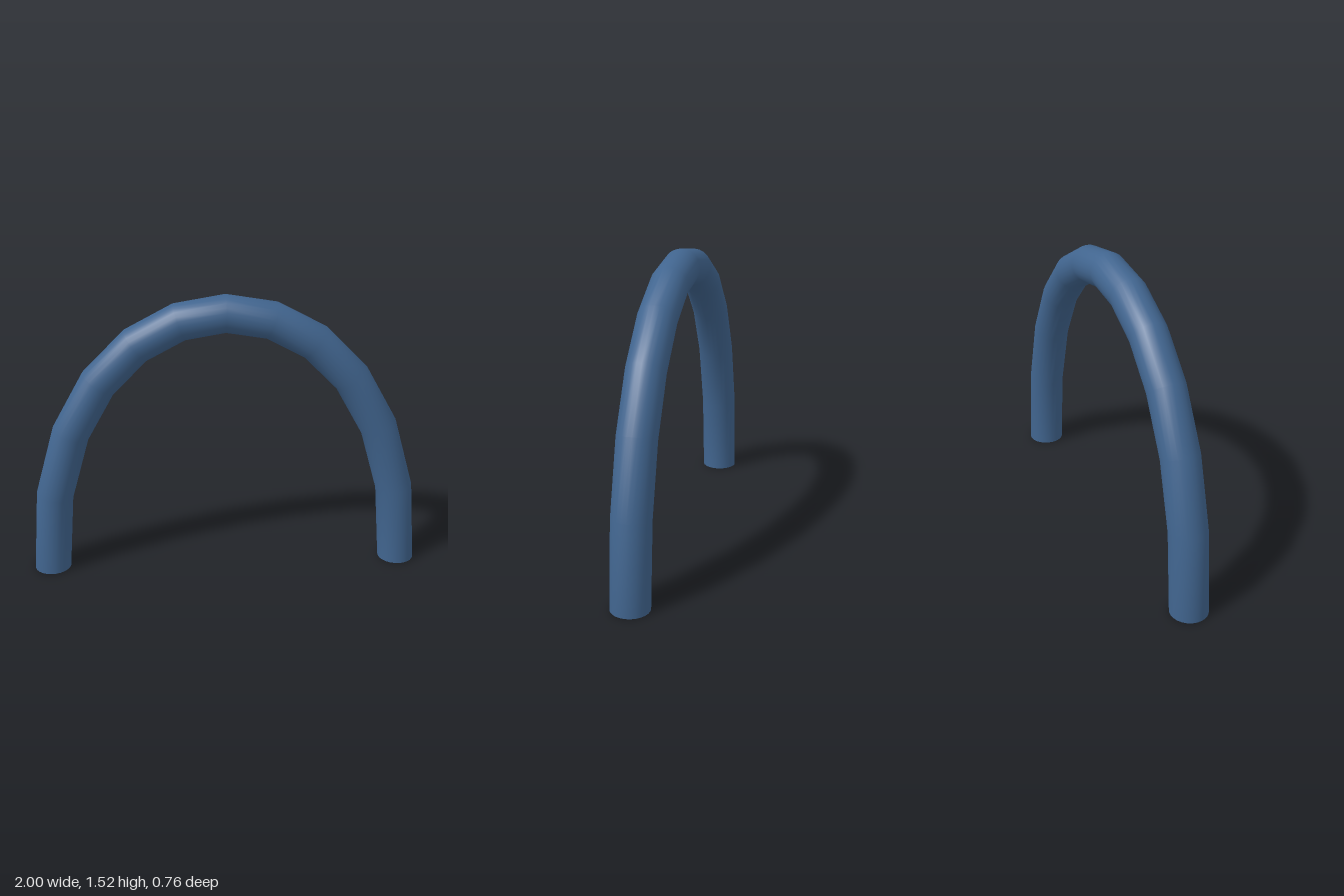
import * as THREE from 'three';

export function createModel() {
  const group = new THREE.Group();
  group.name = 'arch';

  // Arch path: legs start vertical, ends are set diagonally across the floor
  const x = 0.903, z = 0.285, lift = 1.893, radius = 0.097;
  const path = new THREE.CubicBezierCurve3(
    new THREE.Vector3(-x, 0, z),
    new THREE.Vector3(-x, lift, z),
    new THREE.Vector3(x, lift, -z),
    new THREE.Vector3(x, 0, -z)
  );
  // Space the rings evenly by curve parameter, so they gather towards the crown
  path.getPointAt = (t, target) => path.getPoint(t, target);
  path.getTangentAt = (t, target) => path.getTangent(t, target);

  // Open-ended bent pipe
  const pipe = new THREE.Mesh(
    new THREE.TubeGeometry(path, 12, radius, 24, false),
    new THREE.MeshStandardMaterial({ color: 0x41658f, side: THREE.DoubleSide })
  );
  pipe.name = 'archPipe';
  group.add(pipe);

  return group;
}
